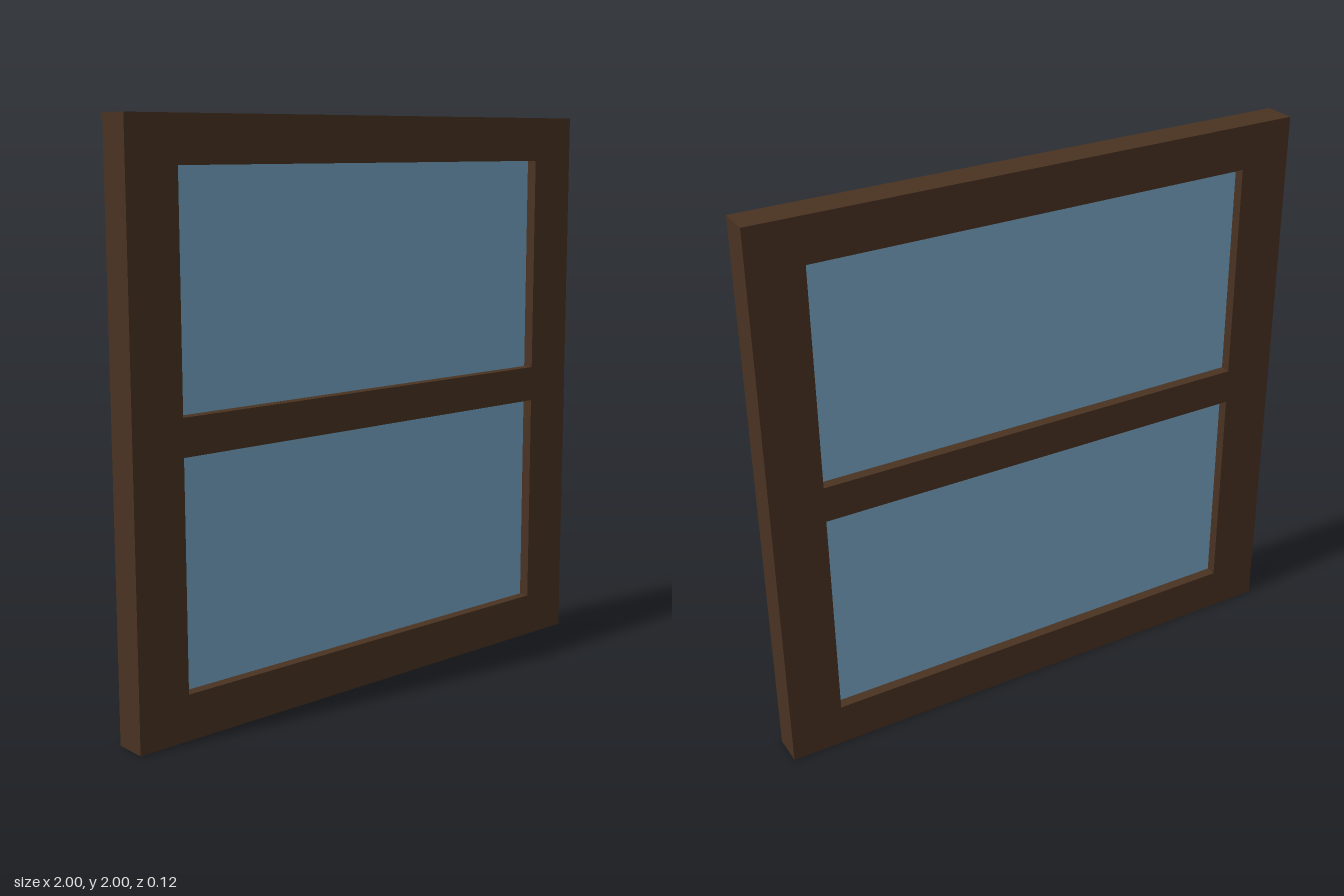
import * as THREE from 'three';

const DEPTH = 0.115;       // frame thickness
const GLASS_DEPTH = 0.038; // glass sits recessed on both sides
const HALF_W = 0.81;       // half width of the openings
const OPENINGS = [
  { name: 'lowerGlass', bottom: 0.157, top: 0.936 },
  { name: 'upperGlass', bottom: 1.064, top: 1.843 },
];

// Closed rectangular outline
function rectangle(PathType, x0, y0, x1, y1) {
  return new PathType([
    new THREE.Vector2(x0, y0),
    new THREE.Vector2(x1, y0),
    new THREE.Vector2(x1, y1),
    new THREE.Vector2(x0, y1),
  ]);
}

export function createModel() {
  const wood = new THREE.MeshStandardMaterial({ color: 0x4a3322 });
  wood.name = 'darkWood';
  const glass = new THREE.MeshStandardMaterial({ color: 0x7aaac9 });
  glass.name = 'blueGlass';

  const model = new THREE.Group();
  model.name = 'window';

  // Frame with middle rail: one slab with two openings
  const outline = rectangle(THREE.Shape, -1, 0, 1, 2);
  for (const o of OPENINGS) {
    outline.holes.push(rectangle(THREE.Path, -HALF_W, o.bottom, HALF_W, o.top));
  }
  const frameGeometry = new THREE.ExtrudeGeometry(outline, { depth: DEPTH, bevelEnabled: false });
  frameGeometry.translate(0, 0, -DEPTH / 2);
  const frame = new THREE.Mesh(frameGeometry, wood);
  frame.name = 'frame';
  model.add(frame);

  // Glass panes filling the openings
  for (const o of OPENINGS) {
    const pane = new THREE.Mesh(
      new THREE.BoxGeometry(HALF_W * 2, o.top - o.bottom, GLASS_DEPTH), glass);
    pane.position.y = (o.top + o.bottom) / 2;
    pane.name = o.name;
    model.add(pane);
  }
  return model;
}
